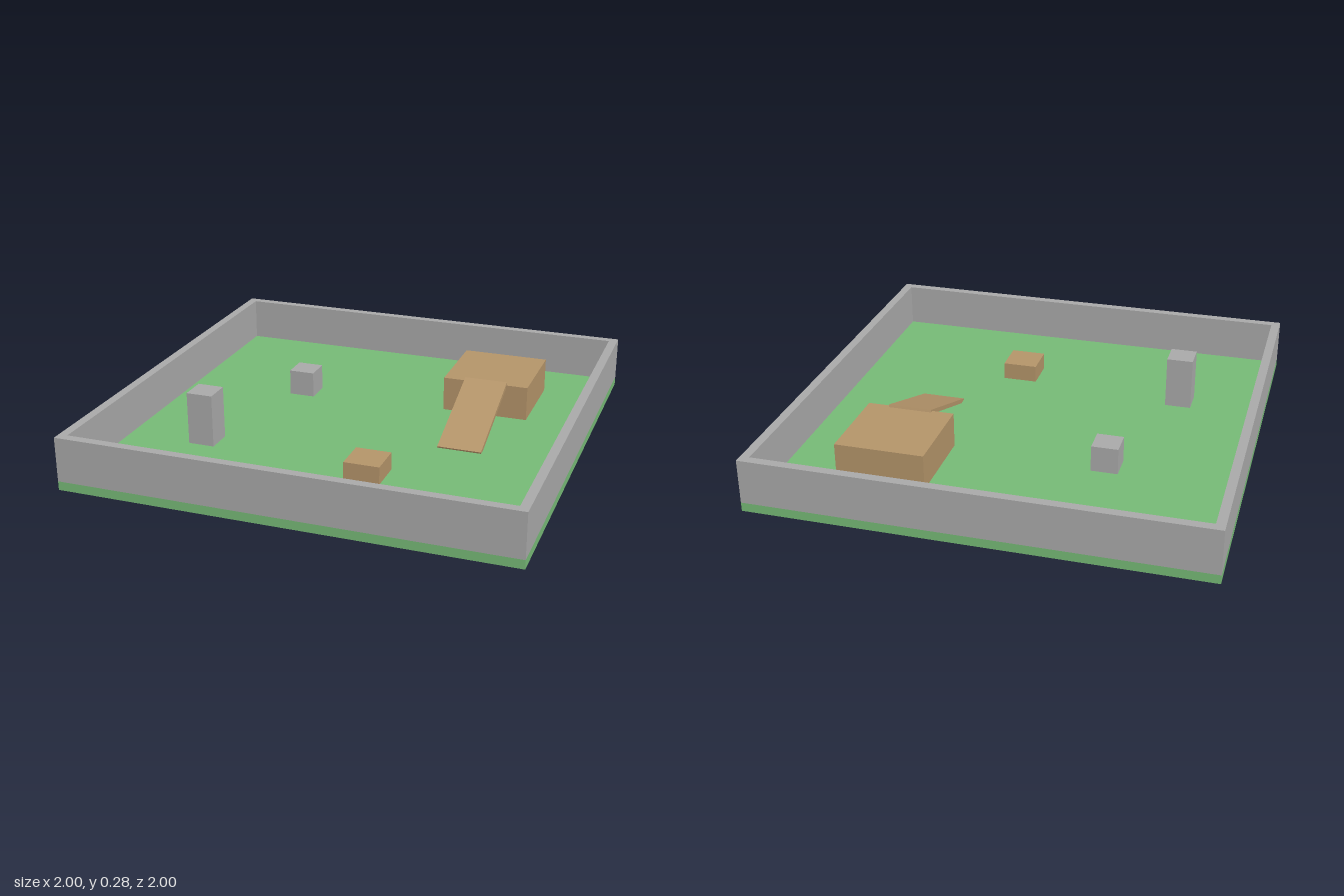
import * as THREE from 'three';

export function createModel() {
  const model = new THREE.Group();
  model.name = 'walledArena';

  const material = (name, color) => {
    const m = new THREE.MeshStandardMaterial({ color });
    m.name = name;
    return m;
  };
  const green = material('grassGreen', 0x77bb77);
  const grey = material('stoneGrey', 0xaaaaaa);
  const brown = material('woodBrown', 0xb5956a);

  const floorY = 0.04;

  // Adds a box whose underside rests at height y
  function addBox(name, mat, [w, h, d], x, z, y = floorY) {
    const mesh = new THREE.Mesh(new THREE.BoxGeometry(w, h, d), mat);
    mesh.name = name;
    mesh.position.set(x, y + h / 2, z);
    model.add(mesh);
    return mesh;
  }

  // Ground slab
  addBox('ground', green, [2, floorY, 2], 0, 0, 0);

  // Perimeter walls: one square ring, extruded upwards
  const square = (r) => [[-r, -r], [r, -r], [r, r], [-r, r]].map(([x, y]) => new THREE.Vector2(x, y));
  const ring = new THREE.Shape(square(1));
  ring.holes.push(new THREE.Path(square(0.96).reverse()));
  const wallGeometry = new THREE.ExtrudeGeometry(ring, { depth: 0.2, bevelEnabled: false });
  wallGeometry.rotateX(-Math.PI / 2);
  const walls = new THREE.Mesh(wallGeometry, grey);
  walls.name = 'perimeterWalls';
  walls.position.y = floorY;
  model.add(walls);

  // Raised platform and low crate
  addBox('platform', brown, [0.4, 0.16, 0.4], 0.5, -0.5);
  addBox('crate', brown, [0.16, 0.08, 0.16], 0.2, 0.5);

  // Pillars
  addBox('tallPillar', grey, [0.12, 0.24, 0.12], -0.6, 0.4);
  addBox('shortPillar', grey, [0.12, 0.12, 0.12], -0.4, -0.3);

  // Ramp leaning from the floor up to the platform edge
  const ramp = addBox('ramp', brown, [0.2, 0.02, 0.48], 0.5, -0.09, 0.11);
  ramp.rotation.x = THREE.MathUtils.degToRad(20);

  return model;
}
